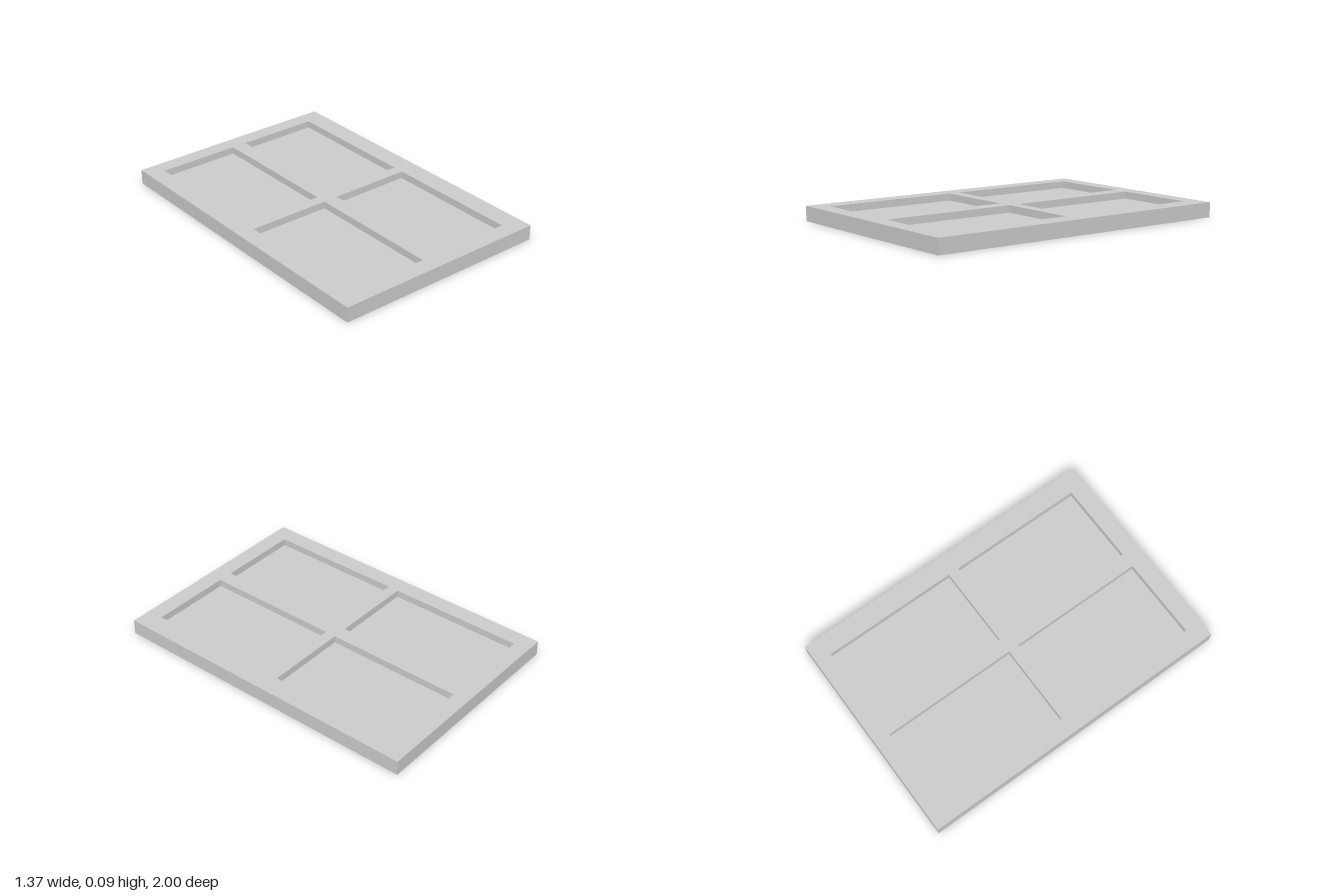
import * as THREE from 'three';

const HALF_WIDTH = 0.685, HALF_LENGTH = 1, THICKNESS = 0.093;
const PANEL_BOTTOM = 0.03, PANEL_TOP = 0.048;
const COLUMNS = [[-0.578, -0.058], [0.037, 0.557]]; // x ranges of the openings
const ROWS = [[-0.902, -0.038], [0.031, 0.895]]; // z ranges of the openings

function tracedRect(path, x0, z0, x1, z1) {
  path.moveTo(x0, z0);
  path.lineTo(x1, z0);
  path.lineTo(x1, z1);
  path.lineTo(x0, z1);
  path.closePath();
  return path;
}

export function createModel() {
  const group = new THREE.Group();
  group.name = 'panelledDoor';
  const material = new THREE.MeshStandardMaterial({ color: 0xcccccc });
  const outline = tracedRect(new THREE.Shape(), -HALF_WIDTH, -HALF_LENGTH, HALF_WIDTH, HALF_LENGTH);

  // Thin recessed panel in each opening
  COLUMNS.forEach(([x0, x1], column) => {
    ROWS.forEach(([z0, z1], row) => {
      outline.holes.push(tracedRect(new THREE.Path(), x0, z0, x1, z1));
      const geometry = new THREE.BoxGeometry(x1 - x0, PANEL_TOP - PANEL_BOTTOM, z1 - z0);
      const panel = new THREE.Mesh(geometry, material);
      panel.position.set((x0 + x1) / 2, (PANEL_TOP + PANEL_BOTTOM) / 2, (z0 + z1) / 2);
      panel.name = `${row ? 'front' : 'back'}${column ? 'Left' : 'Right'}Panel`;
      group.add(panel);
    });
  });

  // Frame with stiles, rails and the crossing bars, laid flat
  const frameGeometry = new THREE.ExtrudeGeometry(outline, { depth: THICKNESS, bevelEnabled: false });
  frameGeometry.rotateX(Math.PI / 2).translate(0, THICKNESS, 0);
  const frame = new THREE.Mesh(frameGeometry, material);
  frame.name = 'frame';
  group.add(frame);

  return group;
}
